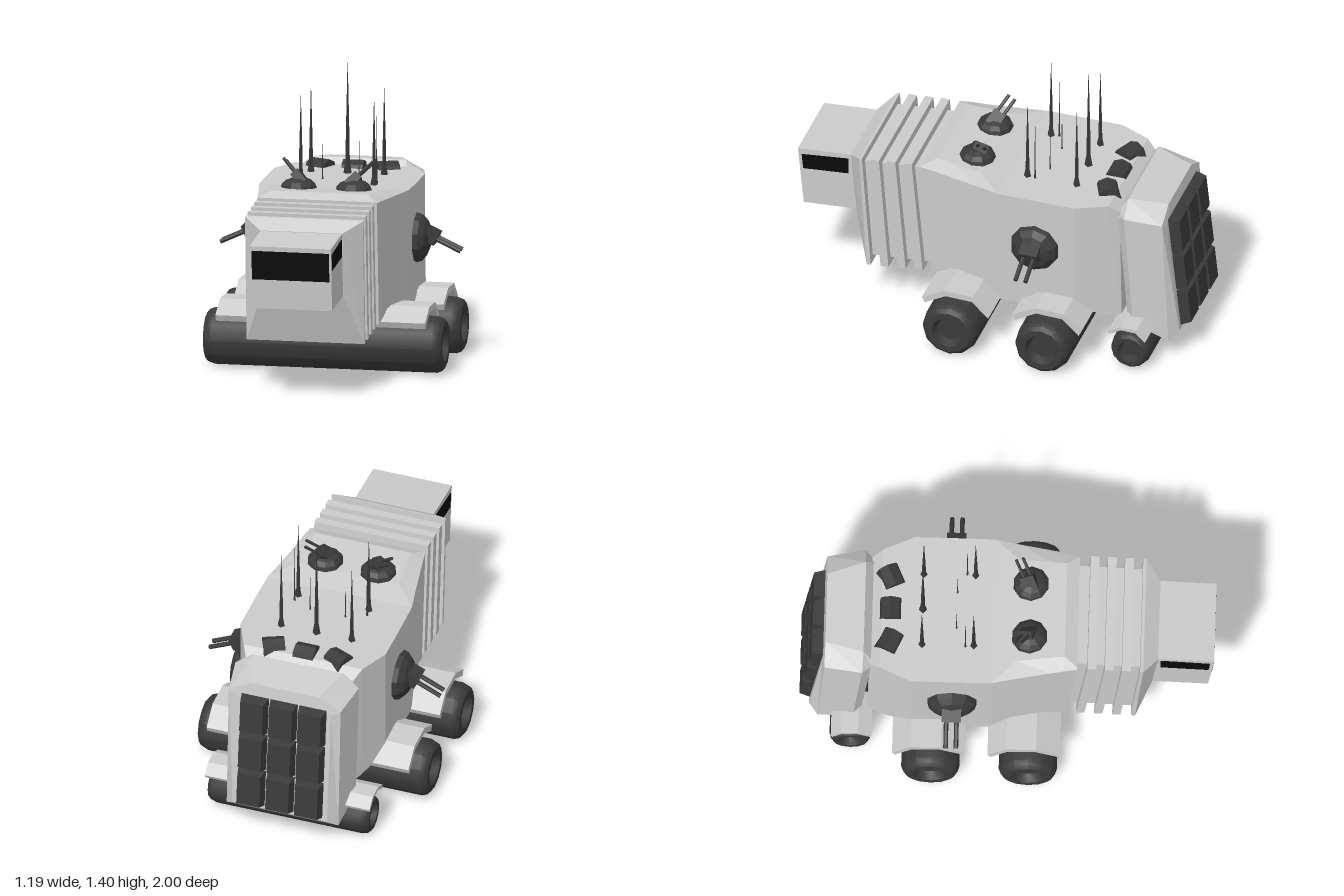
import * as THREE from 'three';
import { toCreasedNormals } from 'three/addons/utils/BufferGeometryUtils.js';

const grey = new THREE.MeshStandardMaterial({ color: 0xcccccc, flatShading: true });
const dark = new THREE.MeshStandardMaterial({ color: 0x3a3a3a, flatShading: true });
const rubber = new THREE.MeshStandardMaterial({ color: 0x3a3a3a });
const black = new THREE.MeshStandardMaterial({ color: 0x0a0a0a, flatShading: true });
const lerp = THREE.MathUtils.lerp;

// Six-sided hull section, leaning from zT at the roof to zB at the floor
function ring(zT, zB, yB, yS, yR, w, wR = w) {
  return [[-w, yB], [w, yB], [w, yS], [wR, yR], [-wR, yR], [-w, yS]]
    .map(([x, y]) => [x, y, lerp(zB, zT, (y - yB) / (yR - yB))]);
}

// Closed skin over sections given from front to back
function loft(rings) {
  const p = [], n = rings[0].length, last = rings[rings.length - 1];
  for (let i = 0; i < rings.length - 1; i++) {
    for (let j = 0; j < n; j++) {
      const k = (j + 1) % n;
      const a = rings[i][j], b = rings[i][k], c = rings[i + 1][j], d = rings[i + 1][k];
      p.push(...a, ...c, ...b, ...b, ...c, ...d);
    }
  }
  for (let j = 1; j < n - 1; j++) {
    p.push(...rings[0][0], ...rings[0][j], ...rings[0][j + 1]);
    p.push(...last[0], ...last[j + 1], ...last[j]);
  }
  const g = new THREE.BufferGeometry();
  g.setAttribute('position', new THREE.Float32BufferAttribute(p, 3));
  g.computeVertexNormals();
  return g;
}

function add(parent, name, geometry, material, x = 0, y = 0, z = 0) {
  const m = new THREE.Mesh(geometry, material);
  m.name = name;
  m.position.set(x, y, z);
  parent.add(m);
  return m;
}

// Plan half-width of the main hull
function hullWidth(z) {
  if (z > -0.08) return lerp(0.37, 0.29, (z + 0.08) / 0.39);
  return z > -0.46 ? 0.37 : lerp(0.37, 0.27, (-0.46 - z) / 0.22);
}

// Full-width roller with bevelled ends and sunken hubs
function roller(parent, z, r, w) {
  const half = [[r, w - 0.04], [r * 0.93, w - 0.015], [r * 0.8, w], [r * 0.58, w], [r * 0.45, w - 0.04], [0, w - 0.04]];
  const pts = [...half.map(([a, b]) => [a, -b]).reverse(), ...half].map(([a, b]) => new THREE.Vector2(a, b));
  const g = toCreasedNormals(new THREE.LatheGeometry(pts, 12), 0.6);
  add(parent, 'roller', g, rubber, 0, r + 0.005, z).rotation.z = Math.PI / 2;
}

// Arched mudguards on both sides
function fenders(parent, z, y, s, xIn, xOut) {
  const arch = [[-0.175, -0.085], [-0.085, -0.005], [0.06, 0], [0.175, -0.06]];
  const pts = [...arch, ...arch.map(([a, b]) => [a * 0.92, b - 0.03]).reverse()]
    .map(([a, b]) => new THREE.Vector2(a * s, b * s));
  for (const side of [-1, 1]) {
    const g = new THREE.ExtrudeGeometry(new THREE.Shape(pts), { depth: xOut - xIn, bevelEnabled: false });
    g.rotateY(-Math.PI / 2);
    add(parent, 'fender', g, grey, side > 0 ? xOut : -xIn, y, z);
  }
}

// Domed turret with twin barrels; local y is its axis
function turret(parent, name, R, side, dir, origin) {
  const t = new THREE.Group();
  t.name = name;
  const dome = new THREE.SphereGeometry(R, 10, 4, 0, Math.PI * 2, 0, Math.PI / 2);
  add(t, 'dome', dome.scale(1, 0.62, 1), dark);
  const guns = new THREE.Group();
  guns.name = 'guns';
  guns.position.set(origin[0] * R * side, origin[1] * R, 0);
  guns.quaternion.setFromUnitVectors(new THREE.Vector3(0, 1, 0),
    new THREE.Vector3(dir[0] * side, dir[1], dir[2]).normalize());
  add(guns, 'housing', new THREE.BoxGeometry(R * 0.5, R * 0.85, R * 0.75), dark, 0, R * 0.2, 0);
  for (const z of [-0.2, 0.2]) {
    add(guns, 'barrel', new THREE.CylinderGeometry(R * 0.09, R * 0.09, R * 1.6, 6), dark, 0, R * 0.85, z * R);
  }
  t.add(guns);
  parent.add(t);
  return t;
}

function antenna(parent, x, z, top, r) {
  const h = top - 0.85;
  const pts = [[r, 0], [r * 0.5, h * 0.12], [r * 0.38, h * 0.4], [0.0005, h]].map(([a, b]) => new THREE.Vector2(a, b));
  add(parent, 'antenna', new THREE.LatheGeometry(pts, 4), dark, x, 0.85, z);
}

export function createModel() {
  const model = new THREE.Group();
  model.name = 'armouredCrawler';

  // Cab, its windows and the flared neck
  add(model, 'cab', loft([ring(1, 0.97, 0.47, 0.78, 0.78, 0.2), ring(0.72, 0.69, 0.49, 0.8, 0.8, 0.2)]), grey);
  add(model, 'frontWindow', loft([ring(1.0, 0.988, 0.615, 0.757, 0.757, 0.19),
    ring(0.95, 0.94, 0.615, 0.757, 0.757, 0.19)]), black);
  add(model, 'sideWindows', loft([ring(0.98, 0.972, 0.67, 0.75, 0.75, 0.203),
    ring(0.742, 0.742, 0.69, 0.775, 0.775, 0.203)]), black);
  add(model, 'neck', loft([ring(0.73, 0.7, 0.485, 0.802, 0.802, 0.202),
    ring(0.66, 0.62, 0.24, 0.852, 0.852, 0.29), ring(0.645, 0.6, 0.242, 0.855, 0.855, 0.29)]), grey);

  // Bellows: narrow core with four-sided ribs
  add(model, 'bellowsCore', loft([ring(0.65, 0.605, 0.275, 0.82, 0.82, 0.25),
    ring(0.33, 0.28, 0.3, 0.845, 0.845, 0.25)]), grey);
  for (let i = 0; i < 3; i++) {
    const zT = 0.6 - 0.083 * i, zB = 0.55 - 0.087 * i, y0 = 0.247 + 0.008 * i, y1 = 0.862 + 0.007 * i;
    add(model, 'bellowsRib', loft([ring(zT, zB, y0, y1, y1, 0.29),
      ring(zT - 0.042, zB - 0.04, y0, y1, y1, 0.29)]), grey);
  }

  // Main hull: [roof z, floor z, floor y, shoulder y, roof y, roof half-width]
  const hull = [
    [0.34, 0.29, 0.27, 0.875, 0.88, 0.285], [0.28, 0.24, 0.295, 0.875, 0.905, 0.24],
    [0.21, 0.185, 0.33, 0.87, 0.899, 0.245], [0.05, 0.045, 0.33, 0.864, 0.885, 0.26],
    [-0.07, -0.07, 0.245, 0.86, 0.86], [-0.2, -0.2, 0.25, 0.86, 0.86],
    [-0.27, -0.27, 0.33, 0.86, 0.86], [-0.42, -0.42, 0.33, 0.86, 0.86],
    [-0.46, -0.46, 0.305, 0.86, 0.86], [-0.53, -0.53, 0.25, 0.86, 0.86],
    [-0.61, -0.61, 0.225, 0.86, 0.86], [-0.66, -0.67, 0.215, 0.82, 0.82],
  ];
  add(model, 'hull', loft(hull.map(([zT, zB, yB, yS, yR, wR]) =>
    ring(zT, zB, yB, yS, yR, hullWidth(zB), wR ?? hullWidth(zB)))), grey);

  // Rear compartment
  add(model, 'rearCompartment', loft([
    ring(-0.65, -0.7, 0.215, 0.79, 0.82, 0.275, 0.25), ring(-0.69, -0.74, 0.21, 0.81, 0.877, 0.315, 0.23),
    ring(-0.875, -0.91, 0.125, 0.79, 0.85, 0.285, 0.175), ring(-0.885, -0.952, 0.165, 0.765, 0.79, 0.24, 0.2)]), grey);

  // Grid of raised blocks on the rear face
  const blocks = new THREE.Group();
  blocks.name = 'rearBlocks';
  blocks.position.set(0, 0.485, -0.917);
  blocks.rotation.x = 0.104;
  const block = new THREE.BoxGeometry(0.142, 0.2, 0.06);
  const pos = block.attributes.position;
  for (let i = 0; i < pos.count; i++) {
    if (pos.getZ(i) < 0) pos.setXY(i, pos.getX(i) * 0.82, pos.getY(i) * 0.84);
  }
  for (let r = -1; r <= 1; r++) {
    for (let c = -1; c <= 1; c++) add(blocks, 'rearBlock', block, dark, c * 0.147, r * 0.205, -0.023);
  }
  model.add(blocks);

  // Rollers and mudguards
  roller(model, 0.11, 0.14, 0.585);
  roller(model, -0.36, 0.14, 0.585);
  roller(model, -0.75, 0.1, 0.41);
  fenders(model, 0.09, 0.337, 1, 0.27, 0.515);
  fenders(model, -0.37, 0.337, 1, 0.3, 0.515);
  fenders(model, -0.745, 0.25, 0.56, 0.2, 0.42);

  for (const s of [-1, 1]) {
    // Roof and side turrets
    turret(model, 'roofTurret', 0.09, s, [0.66, 0.62, -0.4], [-0.2, 0.4]).position.set(s * 0.135, 0.885, 0.11);
    const side = turret(model, 'sideTurret', 0.125, s, [0.42, 0.9, 0], [-0.25, 0.3]);
    side.position.set(s * 0.365, 0.59, -0.26);
    side.rotation.z = -s * Math.PI / 2;

    // Paired antennas
    antenna(model, s * 0.18, -0.16, 1.285, 0.02);
    antenna(model, s * 0.18, -0.41, 1.285, 0.02);
    antenna(model, s * 0.185, -0.2, 1.19, 0.007);
    antenna(model, s * 0.09, -0.245, 1.055, 0.006);
  }
  antenna(model, 0, -0.41, 1.41, 0.022);

  // Roof vents, the outer two turned
  for (const s of [-1, 0, 1]) {
    const vent = new THREE.CylinderGeometry(0.06, 0.06, 0.105, 8).rotateZ(Math.PI / 2);
    add(model, 'roofVent', vent, dark, s * 0.165, 0.835, -0.565).rotation.y = s * 0.42;
  }
  return model;
}
